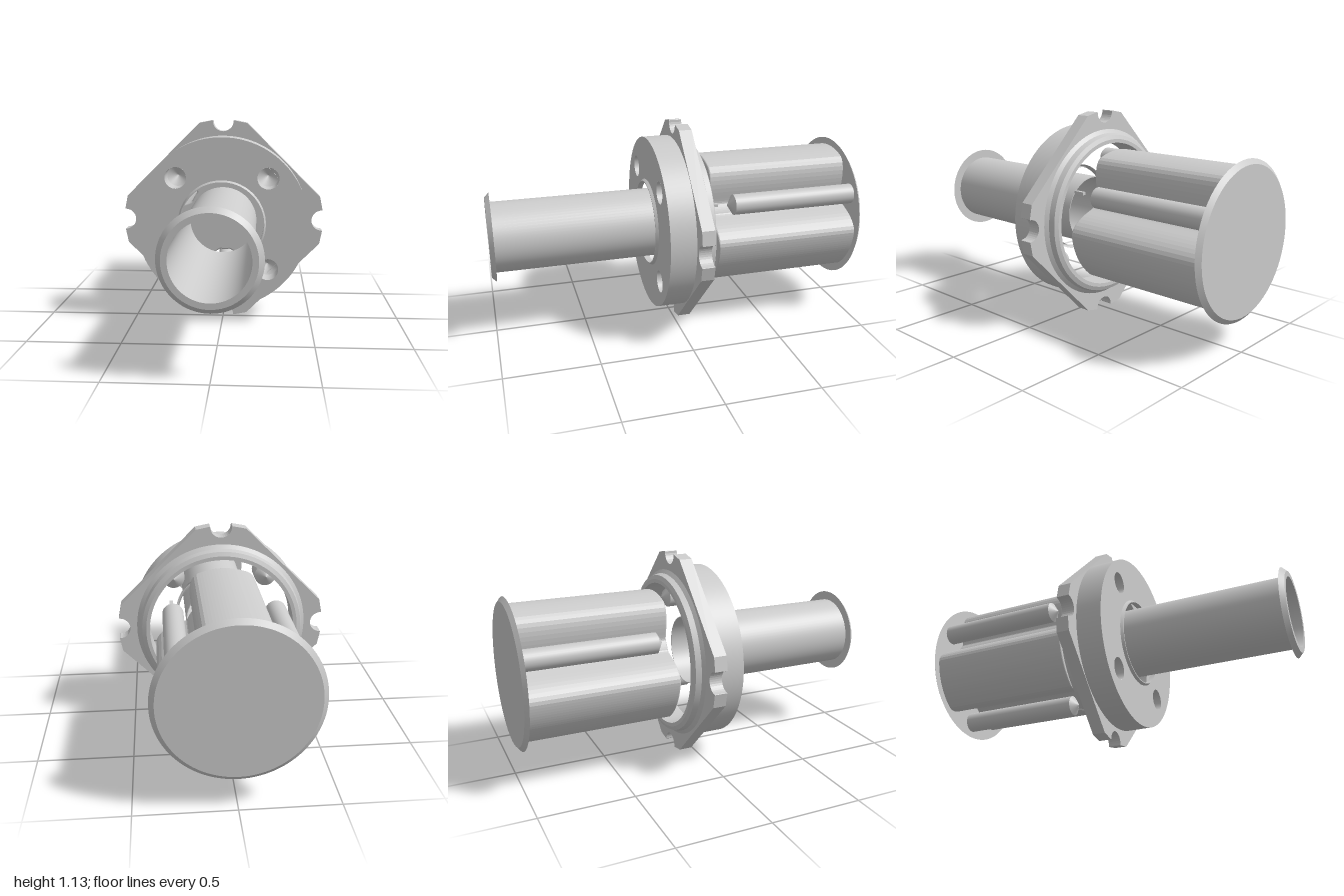
import * as THREE from 'three';
import { mergeGeometries } from 'three/addons/utils/BufferGeometryUtils.js';

const AXIS_Y = 0.565;

export function createModel() {
  const model = new THREE.Group();
  model.position.y = AXIS_Y; // everything below is built around the z axis
  const root = new THREE.Group();
  root.add(model);

  const solid = new THREE.MeshStandardMaterial({ color: 0xcccccc });
  const thin = new THREE.MeshStandardMaterial({ color: 0xcccccc, side: THREE.DoubleSide });

  const add = (name, geometry, material = solid) => {
    const mesh = new THREE.Mesh(geometry, material);
    mesh.name = name;
    model.add(mesh);
    return mesh;
  };

  // Turned part: [radius, z] profile around the z axis, hard edge at each point
  const turned = (profile, segments = 72) => mergeGeometries(
    profile.slice(1).map((p, i) => new THREE.LatheGeometry(
      [new THREE.Vector2(...profile[i]), new THREE.Vector2(...p)], segments)),
  ).rotateX(Math.PI / 2);

  const circle = (x, y, r) => new THREE.Path().absarc(x, y, r, 0, Math.PI * 2, true);

  // Front tube with chamfered end lip
  add('frontTube', turned([
    [0.186, 0], [0.19, 0], [0.19, 0.975], [0.24, 0.975], [0.215, 1], [0.186, 1], [0.186, 0],
  ]));

  // Hollow round housing: outer wall, then the rear lip and inner wall
  add('housingWall', turned([[0.478, -0.03], [0.478, 0.12]], 96));
  add('rearLip', turned([
    [0.395, 0.0], [0.395, -0.145], [0.415, -0.145], [0.437, -0.135],
    [0.445, -0.105], [0.465, -0.09],
  ], 96), thin);

  // Front face with central opening and four blind holes
  const face = new THREE.Shape().absarc(0, 0, 0.478, 0, Math.PI * 2, false);
  face.holes.push(circle(0, 0, 0.23));
  for (const sx of [-1, 1]) {
    for (const sy of [-1, 1]) {
      face.holes.push(circle(sx * 0.255, sy * 0.255, 0.06));
      const hole = add('blindHole', turned([[0.06, 0.12], [0.06, 0], [0, -0.035]], 32), thin);
      hole.position.set(sx * 0.255, sy * 0.255, 0);
    }
  }
  add('frontFace', new THREE.ShapeGeometry(face, 48).translate(0, 0, 0.12));
  add('openingCollar', turned([[0.245, 0.118], [0.235, 0.135], [0.23, 0.135], [0.23, 0.105]]), thin);

  // Square mounting plate with clipped, notched corners
  const plate = new THREE.Shape();
  for (let i = 0; i < 4; i++) {
    const a = i * Math.PI / 2;
    const at = (x, y) => [x * Math.cos(a) - y * Math.sin(a), x * Math.sin(a) + y * Math.cos(a)];
    if (i === 0) plate.moveTo(...at(0.548, -0.135));
    else plate.lineTo(...at(0.548, -0.135));
    plate.lineTo(...at(0.563, -0.06));
    for (let k = 0; k <= 16; k++) {
      const t = -Math.PI / 2 - k * Math.PI / 16;
      plate.lineTo(...at(0.56 + 0.058 * Math.cos(t), 0.058 * Math.sin(t)));
    }
    plate.lineTo(...at(0.563, 0.06));
    plate.lineTo(...at(0.548, 0.135));
  }
  plate.holes.push(circle(0, 0, 0.395));
  add('mountingPlate', new THREE.ExtrudeGeometry(plate, {
    depth: 0.07, bevelEnabled: false, curveSegments: 48,
  }).translate(0, 0, -0.09));

  // Rear core: three lobes separated by smooth grooves
  const lobes = [];
  for (let i = 0; i < 144; i++) {
    const a = i / 144 * Math.PI * 2;
    const third = Math.PI * 2 / 3;
    const fromLobe = Math.abs(((a - Math.PI / 2 + third * 1.5 + Math.PI * 2) % third) - third / 2);
    const groove = THREE.MathUtils.smoothstep(fromLobe, 0.38, 0.92);
    const r = 0.357 - 0.155 * groove;
    lobes.push(new THREE.Vector2(r * Math.cos(a), r * Math.sin(a)));
  }
  add('lobedCore', new THREE.ExtrudeGeometry(new THREE.Shape(lobes), {
    depth: 0.79, bevelThickness: 0.008, bevelSize: 0.008, bevelSegments: 3,
  }).translate(0, 0, -0.98));

  // Three pointed rods lying in the grooves
  for (let i = 0; i < 3; i++) {
    const a = Math.PI / 6 + i * Math.PI * 2 / 3;
    const rod = add('pointedRod', turned([[0.055, -0.985], [0.055, -0.285], [0, -0.25]], 32));
    rod.position.set(0.312 * Math.cos(a), 0.312 * Math.sin(a), 0);
  }

  // Chamfered end disc
  add('endDisc', turned([
    [0, -1], [0.378, -1], [0.403, -0.98], [0, -0.98],
  ], 96));

  // Thin sliver brace and short pin bridging the gap to the housing
  const brace = new THREE.BufferGeometry().setFromPoints([
    new THREE.Vector3(0.06, -0.345, -0.14),
    new THREE.Vector3(0.31, -0.115, -0.98),
    new THREE.Vector3(0.25, -0.125, -0.8),
  ]);
  brace.computeVertexNormals();
  add('sliverBrace', brace, thin);
  add('shortPin', new THREE.BoxGeometry(0.02, 0.015, 0.06).translate(0.275, 0.165, -0.165));

  return root;
}
